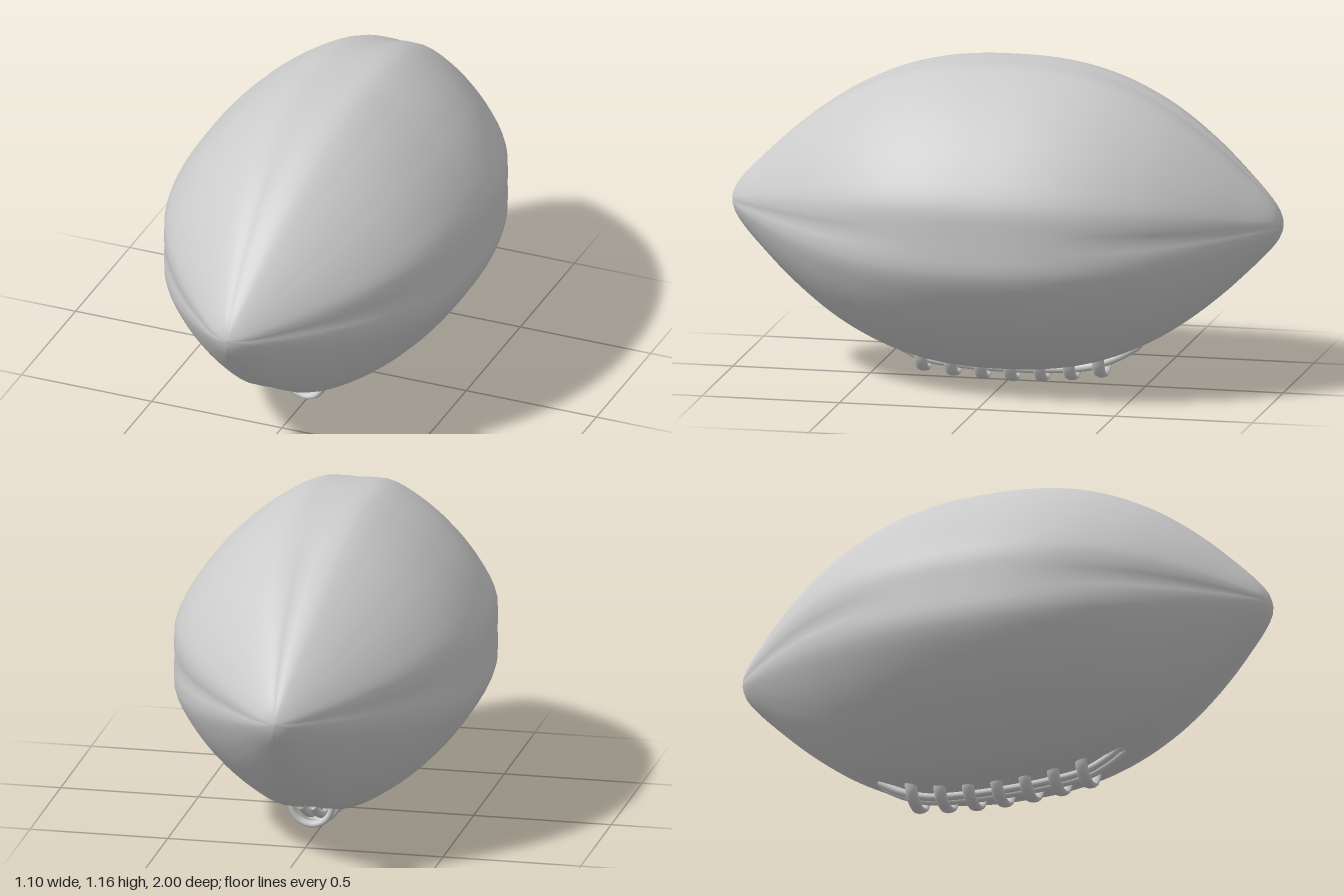
import * as THREE from 'three';

const CENTER_Y = 0.6125, SEGMENTS = 96, RINGS = 90;
const grey = () => new THREE.MeshStandardMaterial({ color: 0xcccccc });
const curve2 = (pts) => new THREE.SplineCurve(pts.map(([x, y]) => new THREE.Vector2(x, y)));

// Half profile as [z, radius], mirrored to make the full length
const half = [[1, 0], [0.995, 0.03], [0.98, 0.06], [0.95, 0.098], [0.9, 0.15], [0.8, 0.245], [0.7, 0.327],
  [0.6, 0.396], [0.5, 0.45], [0.4, 0.492], [0.3, 0.521], [0.2, 0.539], [0.1, 0.548]];
const profile = curve2([...half.map(([z, r]) => [-z, r]), [0, 0.55], ...half.slice().reverse()]);

// Radius factor against degrees from the nearest seam: flat at seams, fuller panels between
const panel = [[0, 1], [6, 1.005], [11, 1.018], [16, 1.012], [25, 0.985], [35, 0.967], [45, 0.96]];
function panelFactor(deg) {
  const i = Math.min(panel.findIndex((p) => p[0] >= deg) || 1, panel.length - 1);
  const [a, fa] = panel[i - 1], [b, fb] = panel[i];
  return THREE.MathUtils.mapLinear(deg, a, b, fa, fb);
}

function makeBall() {
  const pos = [], idx = [];
  profile.getSpacedPoints(RINGS).forEach(({ x: z, y: r }, j) => {
    const groove = 0.025 * THREE.MathUtils.smoothstep(Math.abs(z), 0.2, 0.7);
    for (let i = 0; i < SEGMENTS; i++) {
      const t = (i / SEGMENTS) * Math.PI * 2;
      const m = i % (SEGMENTS / 4);
      const deg = Math.min(m, SEGMENTS / 4 - m) * (360 / SEGMENTS);
      const radius = Math.max(r, 0.0005) * (panelFactor(deg) - (m === 0 ? groove : 0));
      pos.push(radius * Math.cos(t), radius * Math.sin(t), z);
      if (j === RINGS) continue;
      const a = j * SEGMENTS + i, b = j * SEGMENTS + ((i + 1) % SEGMENTS);
      idx.push(a, b, b + SEGMENTS, a, b + SEGMENTS, a + SEGMENTS);
    }
  });
  const geo = new THREE.BufferGeometry();
  geo.setAttribute('position', new THREE.Float32BufferAttribute(pos, 3));
  geo.setIndex(idx);
  geo.computeVertexNormals();
  const ball = new THREE.Mesh(geo, grey());
  ball.name = 'ball';
  ball.position.y = CENTER_Y;
  return ball;
}

const tube = (pts, radius, steps) => new THREE.TubeGeometry(
  new THREE.CatmullRomCurve3(pts.map((p) => new THREE.Vector3(...p))), steps, radius, 10);

function makeLaces() {
  const laces = new THREE.Group();
  laces.name = 'laces';
  // Two cords running along the underside seam, ends tucked into the ball
  const run = [[0.44, 0.145], [0.38, 0.105], [0.3, 0.07], [0.15, 0.052], [0, 0.047],
    [-0.15, 0.05], [-0.3, 0.066], [-0.4, 0.103], [-0.48, 0.15]];
  for (const side of [-1, 1]) {
    const cord = new THREE.Mesh(tube(run.map(([z, y]) => [side * 0.02, y, z]), 0.014, 48), grey());
    cord.name = side > 0 ? 'leftCord' : 'rightCord';
    laces.add(cord);
  }
  // Curved cross stitches wrapping around the cords
  const arc = [[-0.066, 0.09, 0], [-0.055, 0.058, 0], [-0.03, 0.03, 0], [0.01, 0.018, 0],
    [0.05, 0.03, 0], [0.074, 0.058, 0], [0.086, 0.09, 0]];
  const stitchGeo = tube(arc, 0.012, 28).scale(1, 1, 1.9);
  for (let i = 0; i < 7; i++) {
    const z = 0.3 - i * 0.1075;
    const stitch = new THREE.Mesh(stitchGeo, grey());
    stitch.name = 'stitch' + (i + 1);
    stitch.position.set(0, -0.006 + 0.24 * z * z, z);
    laces.add(stitch);
  }
  return laces;
}

export function createModel() {
  const model = new THREE.Group();
  model.name = 'football';
  model.add(makeBall(), makeLaces());
  return model;
}
